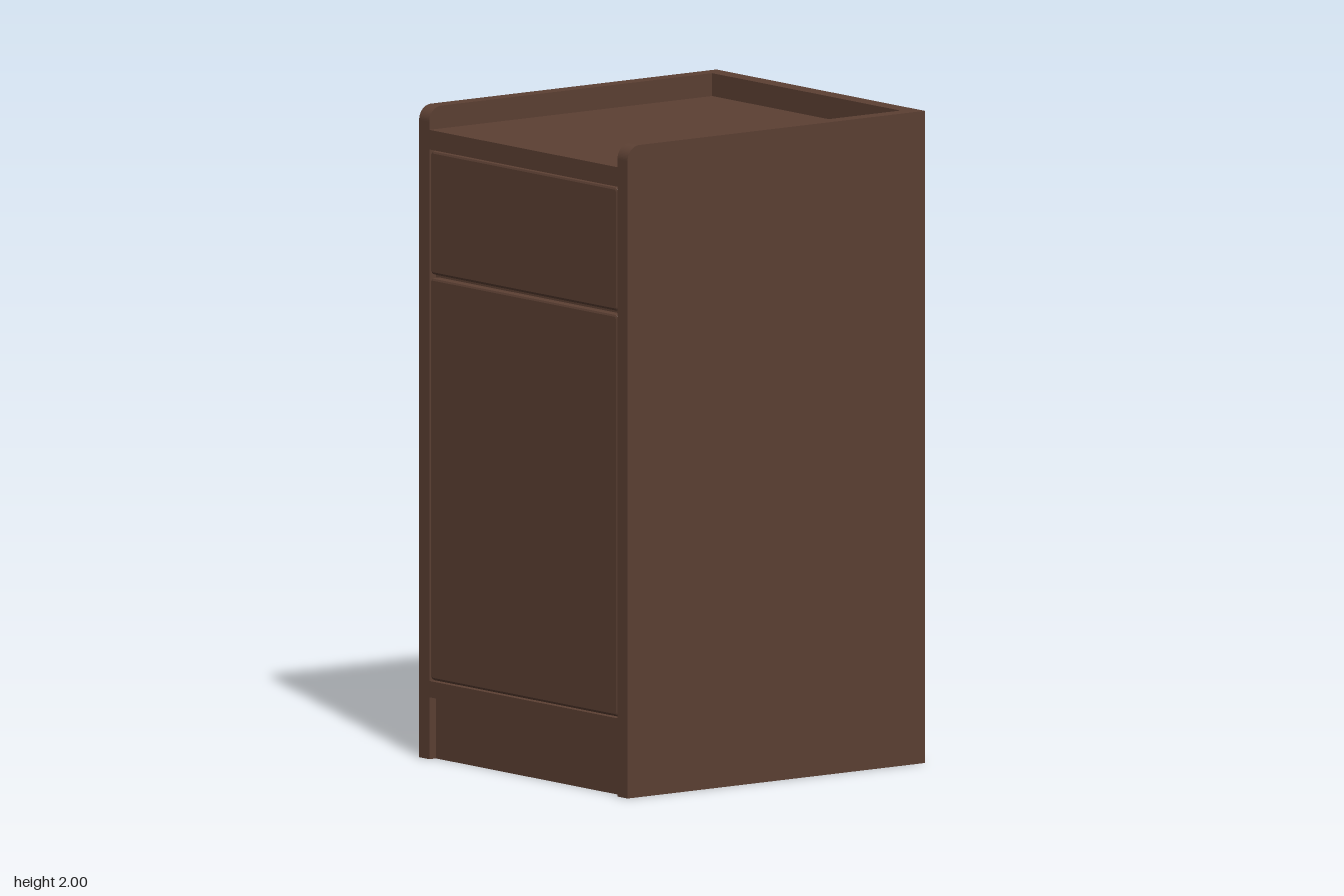
import * as THREE from 'three';

const W = 0.515, D = 0.57, H = 2, T = 0.05; // half width, half depth, height, board thickness
const IN = W - T;                            // inner half width
const FACE = 0.545;                          // plane behind the door and drawer

export function createModel() {
  const wood = new THREE.MeshStandardMaterial({ color: 0x5c4033 });
  wood.name = 'darkBrownWood';
  const cabinet = new THREE.Group();
  cabinet.name = 'cabinet';

  const add = (name, geometry) => {
    const mesh = new THREE.Mesh(geometry, wood);
    mesh.name = name;
    cabinet.add(mesh);
    return mesh;
  };

  // Box given by its limits along each axis
  const board = (name, x0, x1, y0, y1, z0, z1) => {
    const mesh = add(name, new THREE.BoxGeometry(x1 - x0, y1 - y0, z1 - z0));
    mesh.position.set((x0 + x1) / 2, (y0 + y1) / 2, (z0 + z1) / 2);
  };

  // Side boards with a rounded upper front corner
  const r = 0.045;
  const profile = new THREE.Shape();
  profile.moveTo(-D, 0);
  profile.lineTo(D, 0);
  profile.lineTo(D, H - r);
  profile.absarc(D - r, H - r, r, 0, Math.PI / 2, false);
  profile.lineTo(-D, H);
  profile.closePath();
  for (const [name, x] of [['leftSide', IN], ['rightSide', -W]]) {
    const geometry = new THREE.ExtrudeGeometry(profile, { depth: T, bevelEnabled: false, curveSegments: 8 });
    geometry.rotateY(-Math.PI / 2); // profile x becomes z, depth runs to -x
    const side = add(name, geometry);
    side.position.x = x + T;
  }

  // Carcass: its lower front is the recessed toe kick
  board('backBoard', -IN, IN, 0, H, -D, -D + 0.055);
  board('bodyAndToeKick', -IN, IN, 0, 1.87, -D + 0.055, FACE);
  board('topBoard', -IN, IN, 1.87, 1.93, -D + 0.055, D);
  board('bottomRail', -IN, IN, 0.19, 0.24, FACE, D);

  // Fronts with softly bevelled edges
  const bevel = 0.008;
  const front = (name, y0, y1) => {
    const x = IN - 0.003 - bevel, a = y0 + bevel, b = y1 - bevel, c = 0.006;
    const s = new THREE.Shape();
    s.moveTo(-x + c, a);
    s.lineTo(x - c, a);
    s.quadraticCurveTo(x, a, x, a + c);
    s.lineTo(x, b - c);
    s.quadraticCurveTo(x, b, x - c, b);
    s.lineTo(-x + c, b);
    s.quadraticCurveTo(-x, b, -x, b - c);
    s.lineTo(-x, a + c);
    s.quadraticCurveTo(-x, a, -x + c, a);
    const geometry = new THREE.ExtrudeGeometry(s, {
      depth: 0.02, bevelSize: bevel, bevelThickness: bevel, bevelSegments: 2, curveSegments: 4,
    });
    add(name, geometry).position.z = D - 0.002 - 0.02 - bevel;
  };
  front('door', 0.243, 1.477);
  front('drawerFront', 1.487, 1.867);

  return cabinet;
}
